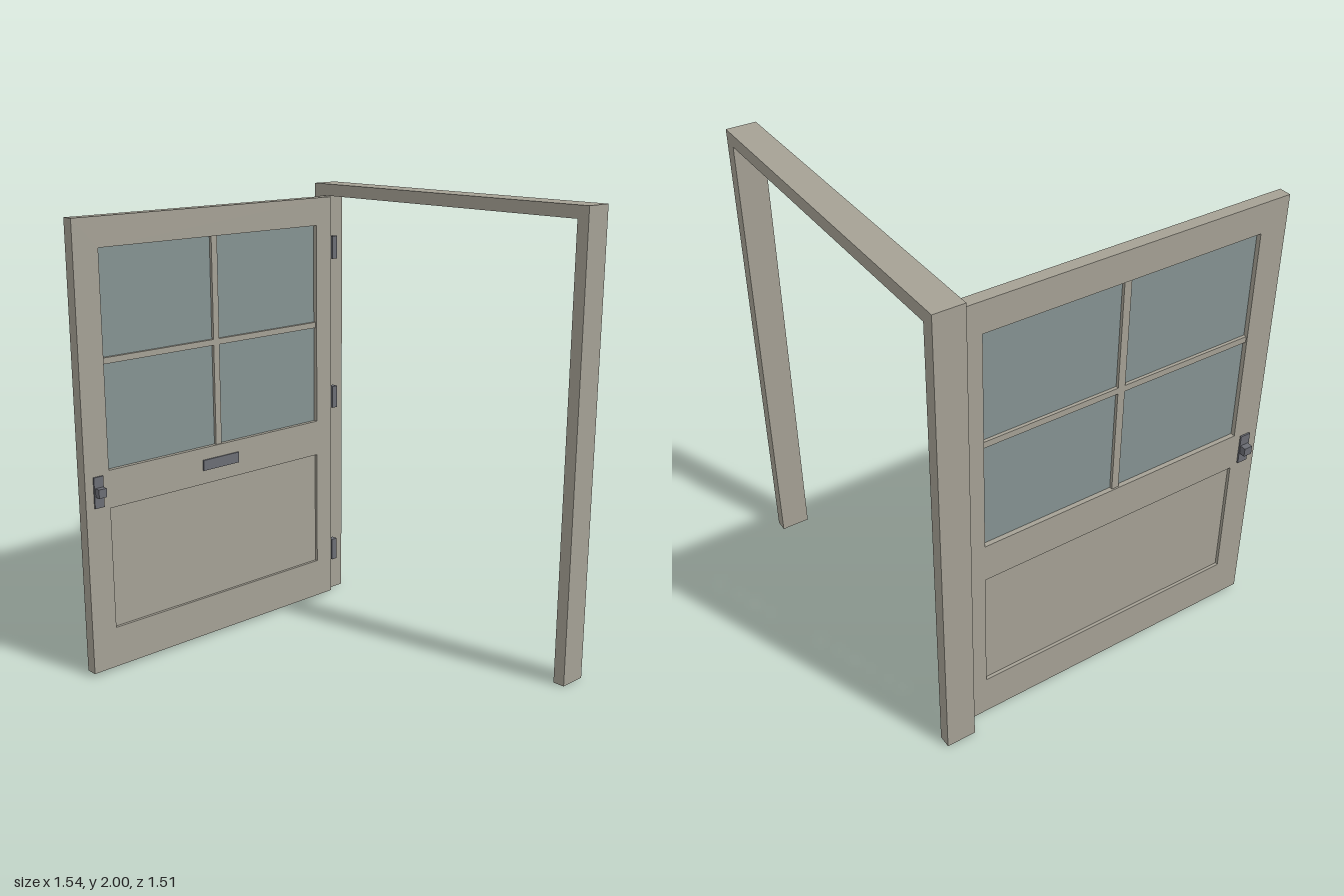
import * as THREE from 'three';

const paint = new THREE.MeshStandardMaterial({ color: 0xa5a195 });
paint.name = 'stone paint';
const glass = new THREE.MeshStandardMaterial({ color: 0x859392 });
glass.name = 'grey green glass';
const metal = new THREE.MeshStandardMaterial({ color: 0x6b6d74 });
metal.name = 'dark metal';

// Box given by its lower and upper bounds on each axis
function box(parent, name, mat, [x0, x1], [y0, y1], [z0, z1]) {
  const mesh = new THREE.Mesh(new THREE.BoxGeometry(x1 - x0, y1 - y0, z1 - z0), mat);
  mesh.position.set((x0 + x1) / 2, (y0 + y1) / 2, (z0 + z1) / 2);
  mesh.name = name;
  parent.add(mesh);
}

// Adds a rectangle outline to a shape or path; u runs along -z
function rect(path, [z0, z1], [y0, y1]) {
  path.moveTo(-z1, y0);
  path.lineTo(-z0, y0);
  path.lineTo(-z0, y1);
  path.lineTo(-z1, y1);
  path.closePath();
  return path;
}

export function createModel() {
  const model = new THREE.Group();
  model.name = 'openDoor';

  // Door frame
  const frame = new THREE.Group();
  frame.name = 'doorFrame';
  model.add(frame);
  const frameZ = [-0.755, -0.632];
  box(frame, 'lintel', paint, [-0.768, 0.768], [1.947, 2], frameZ);
  box(frame, 'hingeJamb', paint, [-0.768, -0.715], [0, 1.947], frameZ);
  box(frame, 'latchJamb', paint, [0.715, 0.768], [0, 1.947], frameZ);

  // Door leaf, swung wide open
  const door = new THREE.Group();
  door.name = 'door';
  model.add(door);
  const inner = -0.66, outer = -0.711, mid = (inner + outer) / 2;
  const openZ = [-0.54, 0.636], openY = [0.9, 1.82], panelY = [0.195, 0.735];

  // Stiles and rails around the window and lower panel
  const leaf = rect(new THREE.Shape(), [-0.632, 0.755], [0.015, 1.944]);
  leaf.holes.push(rect(new THREE.Path(), openZ, openY), rect(new THREE.Path(), openZ, panelY));
  const leafGeo = new THREE.ExtrudeGeometry(leaf, { depth: inner - outer, bevelEnabled: false });
  leafGeo.rotateY(Math.PI / 2).translate(outer, 0, 0);
  const leafMesh = new THREE.Mesh(leafGeo, paint);
  leafMesh.name = 'stilesAndRails';
  door.add(leafMesh);

  // Recessed lower panel, glass and glazing bars
  box(door, 'lowerPanel', paint, [mid - 0.012, mid + 0.012], panelY, openZ);
  box(door, 'windowGlass', glass, [mid - 0.006, mid + 0.006], openY, openZ);
  const barX = [mid - 0.019, mid + 0.019];
  box(door, 'uprightBar', paint, barX, openY, [0.032, 0.063]);
  for (const z of [[openZ[0], 0.032], [0.063, openZ[1]]]) {
    box(door, 'crossBar', paint, barX, [1.348, 1.374], z);
  }

  // Letter plate on one face
  box(door, 'letterPlate', metal, [inner, inner + 0.007], [0.797, 0.845], [-0.055, 0.145]);

  // Handle plates and knobs on both faces
  for (const side of [1, -1]) {
    const span = (a, b) => [mid + side * a, mid + side * b].sort((p, q) => p - q);
    const half = (inner - outer) / 2;
    box(door, 'handlePlate', metal, span(half, half + 0.007), [0.75, 0.885], [0.669, 0.715]);
    box(door, 'handleKnob', metal, span(half + 0.007, half + 0.033), [0.8, 0.838], [0.672, 0.71]);
  }

  // Hinges between leaf and jamb
  for (const y of [0.232, 1.003, 1.713]) {
    box(door, 'hinge', metal, [-0.68, -0.651], [y - 0.052, y + 0.052], [-0.662, -0.632]);
  }
  return model;
}
